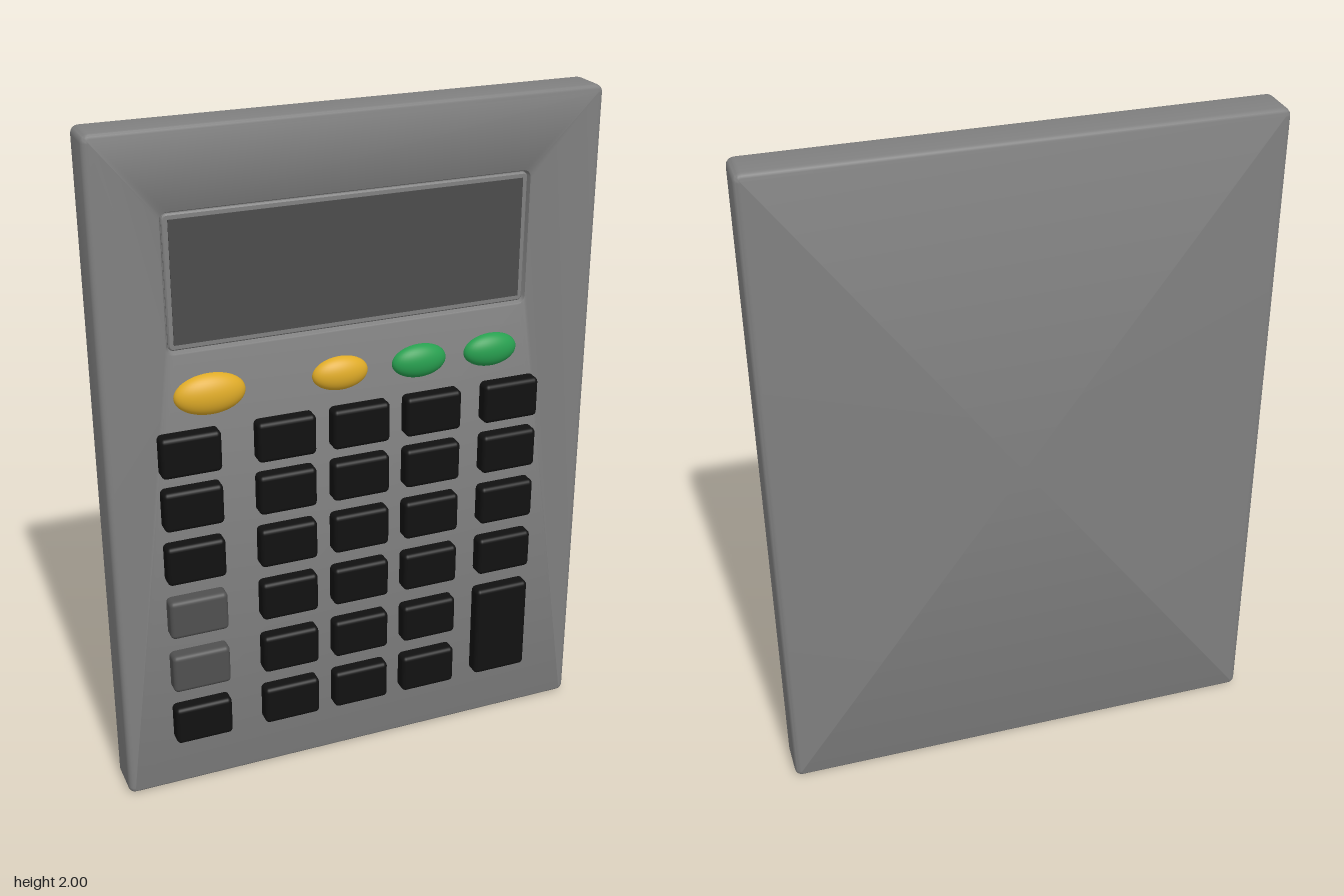
import * as THREE from 'three';
import { toCreasedNormals } from 'three/addons/utils/BufferGeometryUtils.js';
import { RoundedBoxGeometry } from 'three/addons/geometries/RoundedBoxGeometry.js';

const FRONT = 0.045, BACK = -0.087;
const mat = (color) => new THREE.MeshStandardMaterial({ color });

// One rounded-rectangle cross-section: bounds inset by d, corner radius r, at depth z
function ring([x0, x1, y0, y1], d, r, z) {
  const points = [], steps = 4;
  const corners = [[x1 - d - r, y1 - d - r], [x0 + d + r, y1 - d - r], [x0 + d + r, y0 + d + r], [x1 - d - r, y0 + d + r]];
  corners.forEach(([cx, cy], q) => {
    for (let i = 0; i <= steps; i++) {
      const a = (q + i / steps) * Math.PI / 2;
      points.push([cx + r * Math.cos(a), cy + r * Math.sin(a), z]);
    }
  });
  return points;
}

// Skin consecutive cross-sections, closing both ends with a fan
function loft(rings) {
  const n = rings[0].length;
  const centre = (pts) => [0, 1, 2].map((k) => pts.reduce((s, p) => s + p[k], 0) / n);
  const all = [
    Array(n).fill(centre(rings[0])), ...rings, Array(n).fill(centre(rings[rings.length - 1])),
  ];
  const index = [];
  for (let j = 0; j < all.length - 1; j++) {
    for (let i = 0; i < n; i++) {
      const k = (i + 1) % n;
      const a = j * n + i, b = j * n + k, c = a + n, d = b + n;
      if (j > 0) index.push(a, b, d);
      if (j < all.length - 2) index.push(a, d, c);
    }
  }
  const geometry = new THREE.BufferGeometry();
  geometry.setAttribute('position', new THREE.Float32BufferAttribute(all.flat(2), 3));
  geometry.setIndex(index);
  return toCreasedNormals(geometry, 0.6);
}

export function createModel() {
  const model = new THREE.Group();
  const add = (name, geometry, material, x = 0, y = 0, z = 0) => {
    const mesh = new THREE.Mesh(geometry, material);
    mesh.name = name;
    mesh.position.set(x, y, z);
    model.add(mesh);
    return mesh;
  };
  const bodyMat = mat(0x808080), glassMat = mat(0x4c4c4c);
  const black = mat(0x111111), grey = mat(0x505050);
  const yellow = mat(0xe0ac28), green = mat(0x28a050);

  // Case with rounded edges and a recessed display window
  const outer = [-0.735, 0.735, 0, 2], window = [-0.552, 0.522, 1.388, 1.787];
  const e = 0.018, rings = [];
  for (let i = 0; i <= 4; i++) {
    const a = (i / 4) * Math.PI / 2;
    rings.push(ring(outer, e * (1 - Math.sin(a)), 0.004 + e * Math.sin(a), BACK + e * (1 - Math.cos(a))));
  }
  for (let i = 4; i >= 0; i--) {
    const a = (i / 4) * Math.PI / 2;
    rings.push(ring(outer, e * (1 - Math.sin(a)), 0.004 + e * Math.sin(a), FRONT - e * (1 - Math.cos(a))));
  }
  rings.push(
    ring(window, 0, 0.025, FRONT),
    ring(window, 0.004, 0.021, FRONT - 0.002),
    ring(window, 0.01, 0.015, FRONT - 0.016),
  );
  add('case', loft(rings), bodyMat);

  // Display: raised surround inside the recess, then the dark glass
  const bezel = [-0.541, 0.511, 1.399, 1.776];
  add('displaySurround', loft([
    ring(bezel, 0, 0.014, FRONT - 0.018),
    ring(bezel, 0, 0.014, FRONT - 0.01),
    ring(bezel, 0.004, 0.01, FRONT - 0.006),
  ]), bodyMat);
  add('displayGlass', new THREE.BoxGeometry(1.022, 0.346, 0.008), glassMat, -0.015, 1.588, FRONT - 0.008);

  // Rectangular keys, five columns by six rows
  const columns = [-0.503, -0.226, -0.002, 0.222, 0.47];
  const rows = [1.105, 0.941, 0.77, 0.594, 0.412, 0.231];
  const keyGeometry = new RoundedBoxGeometry(0.173, 0.122, 0.062, 3, 0.014);
  const keyZ = 0.056;
  columns.forEach((x, c) => rows.forEach((y, r) => {
    if (c === 4 && r > 3) return;
    const isGrey = c === 0 && (r === 3 || r === 4);
    add(isGrey ? 'greyKey' : 'key', keyGeometry, isGrey ? grey : black, x, y, keyZ);
  }));
  add('tallKey', new RoundedBoxGeometry(0.173, 0.303, 0.062, 3, 0.014), black, 0.47, 0.324, keyZ);

  // Domed oval buttons
  const dome = new THREE.SphereGeometry(1, 40, 24);
  [
    ['largeOvalButton', -0.435, 0.102, 0.06, 0.042, yellow],
    ['ovalButton', -0.055, 0.083, 0.05, 0.037, yellow],
    ['ovalButton', 0.186, 0.083, 0.05, 0.037, green],
    ['ovalButton', 0.41, 0.083, 0.05, 0.037, green],
  ].forEach(([name, x, rx, ry, rz, material]) => {
    add(name, dome, material, x, 1.265, FRONT).scale.set(rx, ry, rz);
  });

  return model;
}
